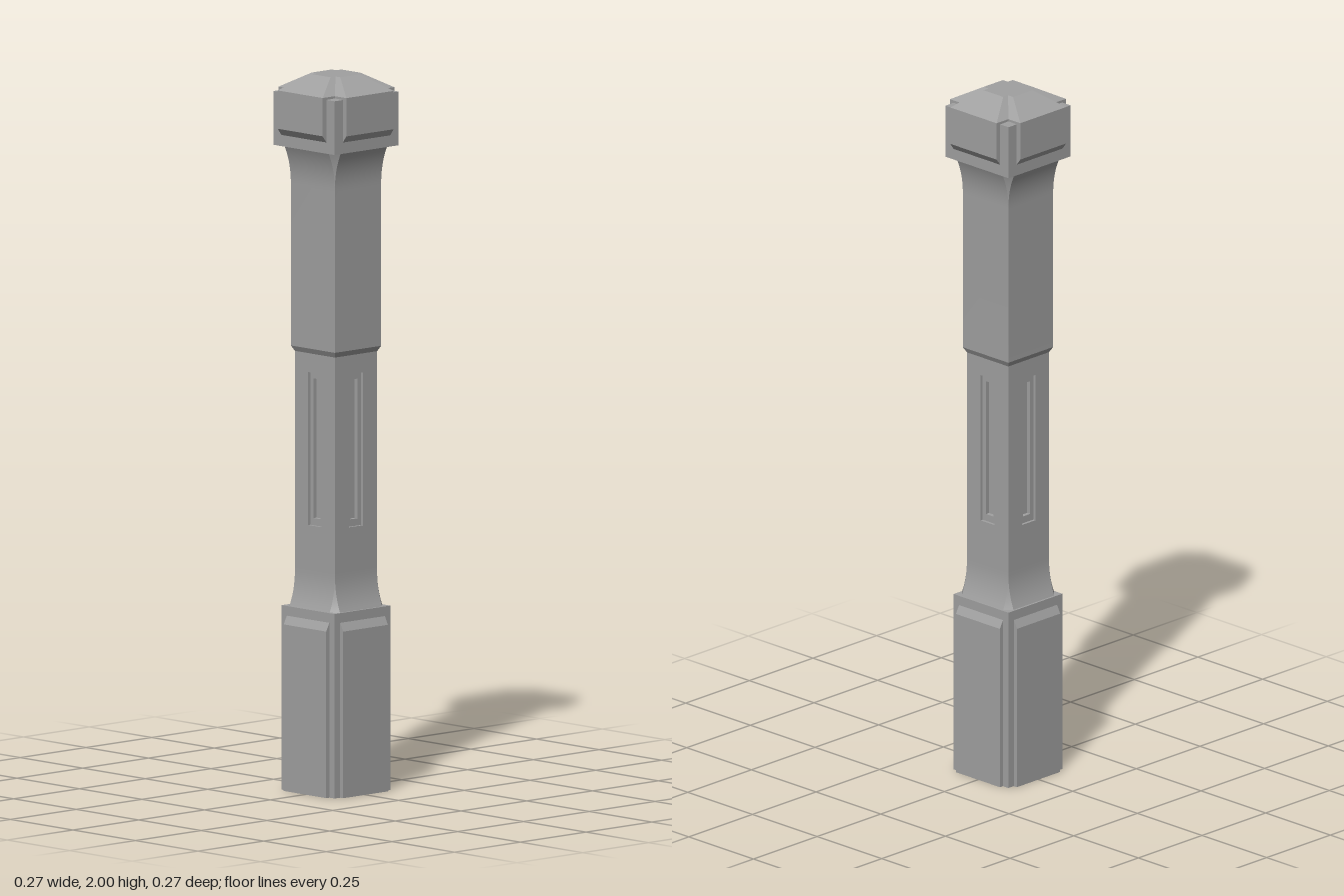
import * as THREE from 'three';
import { toCreasedNormals } from 'three/addons/utils/BufferGeometryUtils.js';

const stone = new THREE.MeshStandardMaterial({ color: 0xa0a0a0 });
stone.name = 'grey stone';

// Cross-section with four-fold symmetry: r = face distance, w = face half width,
// c = corner point (c = w gives a notch, c = (r + w) / 2 a chamfer, r = w = c a square)
function ring([y, r, w = r, c = (r + w) / 2]) {
  const points = [];
  for (let q = 0; q < 4; q++) {
    for (const [a, b] of [[r, w], [c, c], [w, r]]) {
      const [x, z] = [[a, b], [-b, a], [-a, -b], [b, -a]][q];
      points.push(new THREE.Vector3(x, y, z));
    }
  }
  return points;
}

// Closed loft through sections listed from bottom to top
function loft(name, sections) {
  const rings = sections.map(ring);
  const out = [];
  const normal = new THREE.Vector3();
  const tri = (a, b, c) => {
    new THREE.Triangle(a, b, c).getNormal(normal);
    if (normal.lengthSq() > 0.5) for (const p of [a, b, c]) out.push(p.x, p.y, p.z);
  };
  const n = rings[0].length;
  const last = rings.length - 1;
  const low = new THREE.Vector3(0, sections[0][0], 0);
  const high = new THREE.Vector3(0, sections[last][0], 0);
  for (let j = 0; j < n; j++) {
    const k = (j + 1) % n;
    for (let i = 0; i < last; i++) {
      tri(rings[i][j], rings[i + 1][j], rings[i][k]);
      tri(rings[i][k], rings[i + 1][j], rings[i + 1][k]);
    }
    tri(low, rings[0][j], rings[0][k]);
    tri(high, rings[last][k], rings[last][j]);
  }
  const geometry = new THREE.BufferGeometry();
  geometry.setAttribute('position', new THREE.Float32BufferAttribute(out, 3));
  const mesh = new THREE.Mesh(toCreasedNormals(geometry, 0.35), stone);
  mesh.name = name;
  return mesh;
}

// Sections of a concave flare; faces keep their width so the corners open into chamfers
function flare(yNarrow, yWide, rNarrow, rWide) {
  const sections = [];
  for (let i = 0; i <= 10; i++) {
    const t = i / 10;
    const r = rNarrow + (rWide - rNarrow) * t ** 2.2;
    sections.push([yNarrow + (yWide - yNarrow) * t, r, rNarrow]);
  }
  return sections;
}

function rectangle(PathType, x, y0, y1) {
  return new PathType([[-x, y0], [x, y0], [x, y1], [-x, y1]].map(p => new THREE.Vector2(...p)));
}

// Wall plate with a rectangular opening, its outer face at distance front
function slottedPlate(name, side, half, front, depth, slotHalf, slotLow, slotHigh) {
  const shape = rectangle(THREE.Shape, half, 0.62, 1.225);
  shape.holes.push(rectangle(THREE.Path, slotHalf, slotLow, slotHigh));
  const geometry = new THREE.ExtrudeGeometry(shape, { depth, bevelEnabled: false });
  geometry.translate(0, 0, front - depth);
  const mesh = new THREE.Mesh(geometry, stone);
  mesh.rotation.y = side * Math.PI / 2;
  mesh.name = name;
  return mesh;
}

export function createModel() {
  const model = new THREE.Group();
  model.name = 'pillar';

  // Pedestal with a raised panel on each side
  model.add(loft('baseCore', [[0, 0.106], [0.515, 0.106]]));
  model.add(loft('basePanels', [
    [0, 0.118, 0.085, 0.085], [0.465, 0.118, 0.085, 0.085], [0.49, 0.105, 0.085, 0.085],
  ]));

  // Lower flare
  model.add(loft('lowerFlare', flare(0.62, 0.515, 0.08, 0.1).reverse()));

  // Lower shaft with a stepped slot in each side
  const shaft = new THREE.Group();
  shaft.name = 'lowerShaft';
  shaft.add(loft('shaftCore', [[0.62, 0.06], [1.225, 0.06]]));
  for (let side = 0; side < 4; side++) {
    const butt = side % 2; // side plates fit between the front and back ones
    shaft.add(slottedPlate('outerSlot', side, butt ? 0.072 : 0.08, 0.08, 0.008, 0.027, 0.745, 1.172));
    shaft.add(slottedPlate('innerSlot', side, butt ? 0.06 : 0.072, 0.072, 0.012, 0.014, 0.765, 1.155));
  }
  model.add(shaft);

  // Thicker upper shaft, flaring out under the cap
  model.add(loft('upperShaft', [
    [1.225, 0.08], [1.24, 0.088], ...flare(1.69, 1.8, 0.088, 0.112),
  ]));

  // Cap: square core with corner posts, raised panels and a notched hip roof
  model.add(loft('capCore', [[1.8, 0.122], [1.95, 0.122, 0.122, 0.122], [1.951, 0.08]]));
  model.add(loft('capPanelsAndRoof', [
    [1.83, 0.121, 0.09, 0.09], [1.85, 0.136, 0.09, 0.09],
    [1.957, 0.136, 0.09, 0.09], [2, 0.057, 0.038, 0.038],
  ]));

  return model;
}
